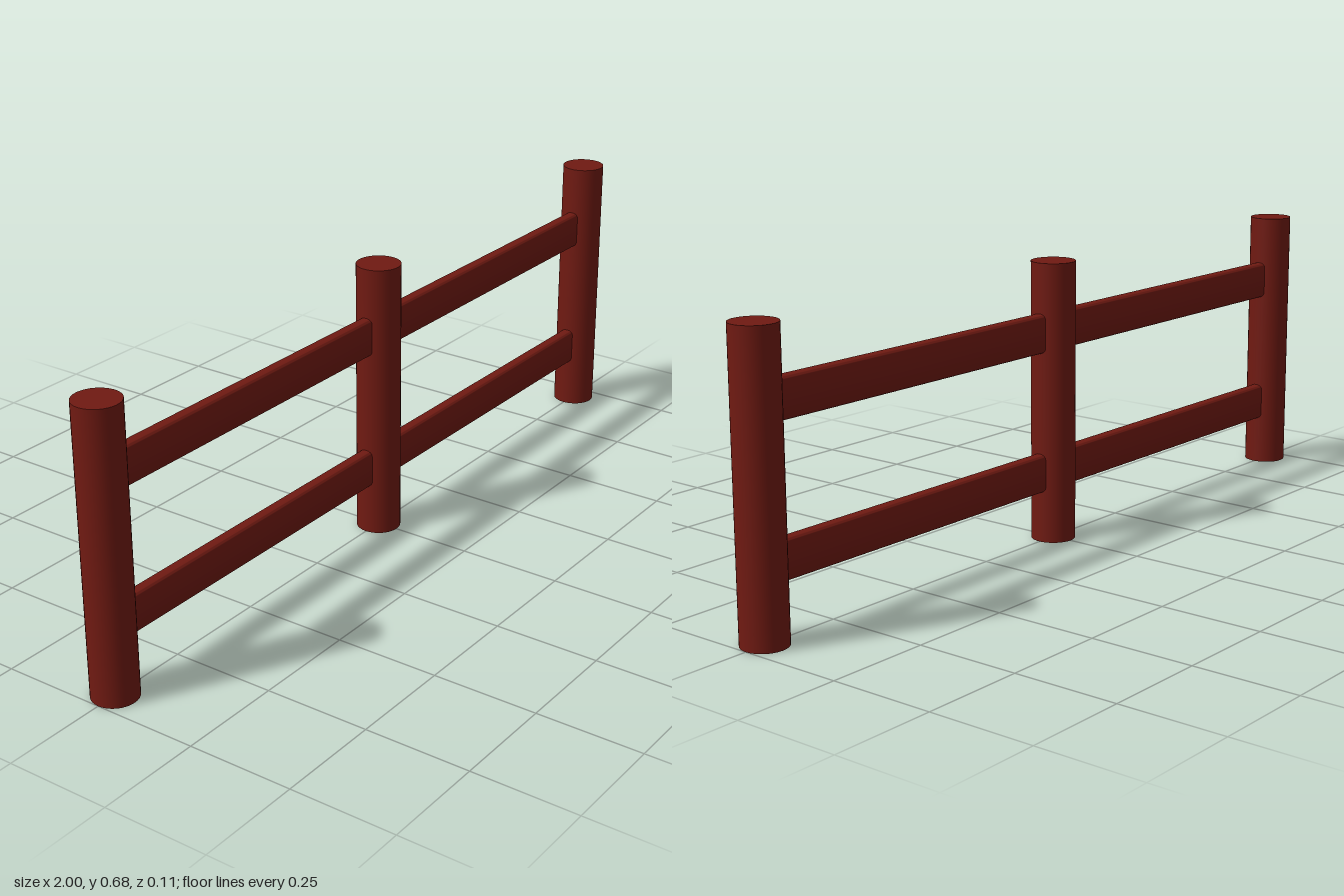
import * as THREE from 'three';
import { toCreasedNormals } from 'three/addons/utils/BufferGeometryUtils.js';

const POST_RADIUS = 0.053;
const POST_HEIGHT = 0.675;
const POST_SPACING = 1 - POST_RADIUS;
const RAIL = { height: 0.094, depth: 0.034, round: 0.014 };

// Upright plank section with rounded corners, extruded along x
function railGeometry(length) {
  const w = RAIL.depth / 2, h = RAIL.height / 2, r = RAIL.round;
  const s = new THREE.Shape();
  s.moveTo(-w + r, -h);
  s.lineTo(w - r, -h);
  s.absarc(w - r, -h + r, r, -Math.PI / 2, 0);
  s.lineTo(w, h - r);
  s.absarc(w - r, h - r, r, 0, Math.PI / 2);
  s.lineTo(-w + r, h);
  s.absarc(-w + r, h - r, r, Math.PI / 2, Math.PI);
  s.lineTo(-w, -h + r);
  s.absarc(-w + r, -h + r, r, Math.PI, Math.PI * 1.5);
  const g = new THREE.ExtrudeGeometry(s, { depth: length, bevelEnabled: false, curveSegments: 6 });
  g.translate(0, 0, -length / 2).rotateY(Math.PI / 2);
  return toCreasedNormals(g, 0.6);
}

export function createModel() {
  const group = new THREE.Group();
  group.name = 'fence';
  const wood = new THREE.MeshStandardMaterial({ color: 0x701a12 });

  // Three round posts
  const postGeo = new THREE.CylinderGeometry(POST_RADIUS, POST_RADIUS, POST_HEIGHT, 32);
  [['rightPost', -1], ['middlePost', 0], ['leftPost', 1]].forEach(([name, side]) => {
    const post = new THREE.Mesh(postGeo, wood);
    post.name = name;
    post.position.set(side * POST_SPACING, POST_HEIGHT / 2, 0);
    group.add(post);
  });

  // Two rails per bay, their ends buried in the posts
  const railGeo = railGeometry(POST_SPACING - POST_RADIUS);
  for (const [level, y] of [['lower', 0.17], ['upper', 0.508]]) {
    for (const [side, sx] of [['Right', -1], ['Left', 1]]) {
      const rail = new THREE.Mesh(railGeo, wood);
      rail.name = `${level}${side}Rail`;
      rail.position.set(sx * POST_SPACING / 2, y, 0);
      group.add(rail);
    }
  }
  return group;
}
